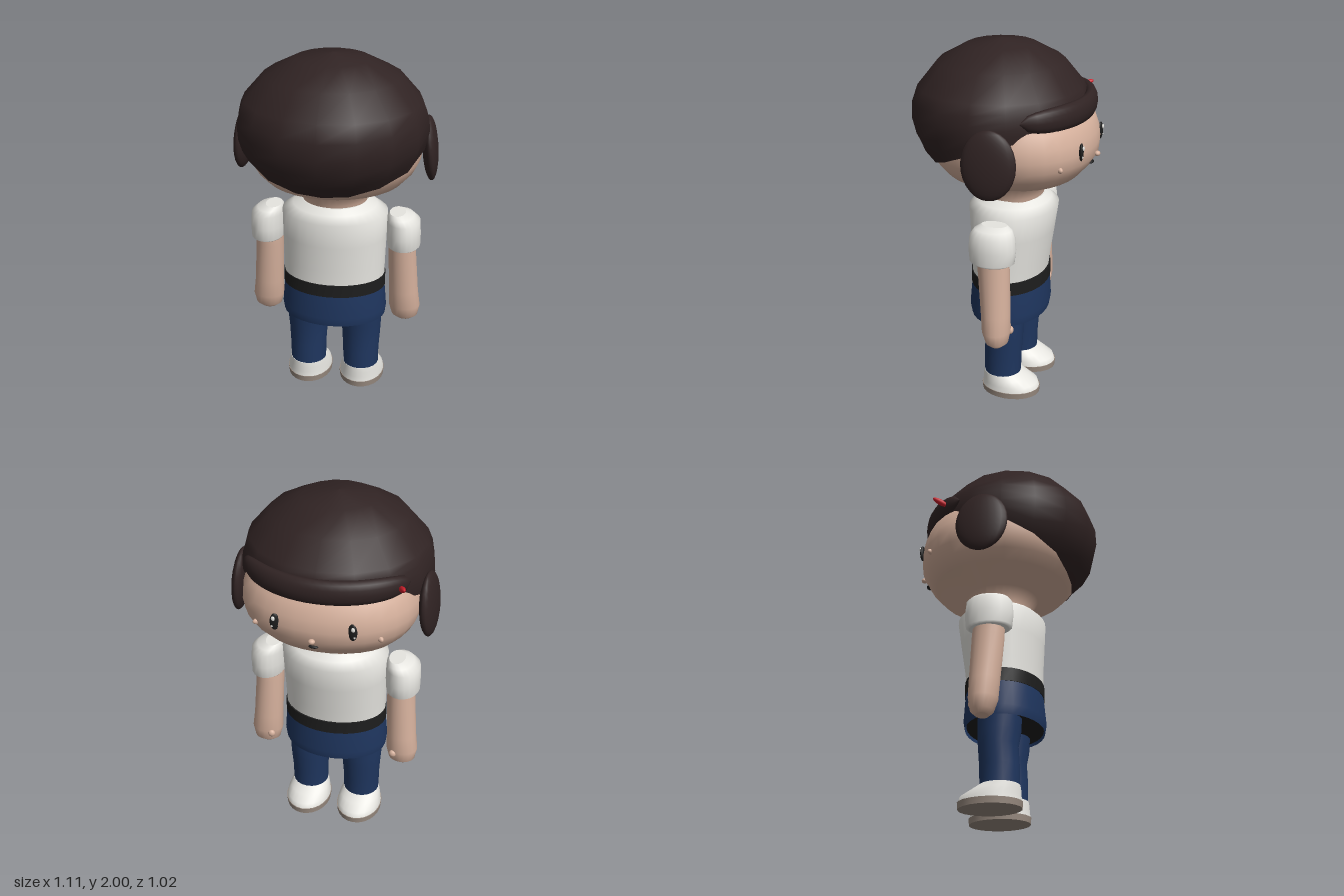
import * as THREE from 'three';

const mat = (name, color, side = THREE.FrontSide) => {
  const m = new THREE.MeshStandardMaterial({ color, side });
  m.name = name;
  return m;
};

// Surface through a grid of points: rows go up, columns go round
function surface(rows, cols, point, { wrap = true, caps = false } = {}) {
  const pos = [], index = [];
  for (let r = 0; r < rows; r++)
    for (let c = 0; c < cols; c++) pos.push(...point(r, c));
  const span = wrap ? cols : cols - 1;
  for (let r = 0; r < rows - 1; r++)
    for (let c = 0; c < span; c++) {
      const a = r * cols + c, b = r * cols + (c + 1) % cols;
      index.push(a, b, b + cols, a, b + cols, a + cols);
    }
  if (caps) for (const r of [0, rows - 1]) {
    const base = pos.length / 3, mid = [0, 0, 0];
    for (let c = 0; c < cols; c++) {
      const p = point(r, c);
      pos.push(...p);
      p.forEach((v, i) => { mid[i] += v / cols; });
    }
    pos.push(...mid);
    for (let c = 0; c < cols; c++) {
      const a = base + c, b = base + (c + 1) % cols;
      if (r === 0) index.push(base + cols, b, a);
      else index.push(base + cols, a, b);
    }
  }
  const g = new THREE.BufferGeometry();
  g.setAttribute('position', new THREE.Float32BufferAttribute(pos, 3));
  g.setIndex(index);
  g.computeVertexNormals();
  return g;
}

// Oval cross-sections [y, centreX, centreZ, radiusX, radiusZ] from bottom to top
function loft(rings, cols = 20, caps = true, frontPower = 1) {
  return surface(rings.length, cols, (r, c) => {
    const [y, cx, cz, rx, rz] = rings[r], a = c / cols * Math.PI * 2;
    const k = Math.cos(a);
    const z = k < 0 ? -Math.pow(-k, frontPower) : k;
    return [cx + rx * Math.sin(a), y, cz + rz * z];
  }, { caps });
}

export function createModel() {
  const model = new THREE.Group();
  model.name = 'figure';
  const hair = mat('hair brown', 0x302323, THREE.DoubleSide);
  const skin = mat('skin', 0xd6b19d);
  const white = mat('white cloth', 0xe6e5e0);
  const black = mat('black', 0x1e1e1e);
  const navy = mat('navy', 0x1f365f, THREE.DoubleSide);
  const sole = mat('sole taupe', 0x988a7f);
  const red = mat('clip red', 0xcc1f2b);

  const add = (name, geometry, material) => {
    const m = new THREE.Mesh(geometry, material);
    m.name = name;
    model.add(m);
    return m;
  };
  const ball = (name, material, p, s, rot = [0, 0, 0]) => {
    const m = add(name, new THREE.SphereGeometry(1, 20, 14), material);
    m.position.set(...p);
    m.scale.set(...s);
    m.rotation.set(...rot);
    return m;
  };

  // Head and neck
  add('head', loft([
    [1.10, 0, -0.04, 0.18, 0.155], [1.17, 0, -0.04, 0.18, 0.16],
    [1.245, 0, -0.035, 0.215, 0.20], [1.30, 0, -0.04, 0.385, 0.365],
    [1.355, 0, -0.04, 0.435, 0.415], [1.41, 0, -0.04, 0.463, 0.447],
    [1.47, 0, -0.04, 0.475, 0.453], [1.53, 0, -0.04, 0.47, 0.445],
    [1.60, 0, -0.04, 0.45, 0.42], [1.70, 0, -0.03, 0.40, 0.36],
    [1.82, 0, 0, 0.28, 0.26],
  ], 32, true, 0.75), skin);

  // Hair cap: drops low at the back, rises over the face
  const limit = [137, 135, 127, 117.5, 106, 97, 92, 92, 92];
  const HY = 1.61, HZ = 0.035, RX = 0.512, RY = 0.39, RZ = 0.475;
  add('hairCap', surface(9, 16, (r, c) => {
    const end = limit[Math.min(c, 16 - c)], k = 8 - r;
    const deg = k <= 3 ? k * 22.5 : 67.5 + (end - 67.5) * (k - 3) / 5;
    const phi = deg * Math.PI / 180, a = c * Math.PI / 8;
    return [RX * Math.sin(phi) * Math.sin(a), HY + RY * Math.cos(phi),
      HZ + RZ * Math.sin(phi) * Math.cos(a)];
  }), hair);

  // Fringe: a tapered roll across the forehead
  add('fringe', surface(25, 14, (r, c) => {
    const t = r / 12 - 1, u = t * 1.03, v = c / 14 * Math.PI * 2;
    const taper = Math.sqrt(Math.max(0.0004, 1 - Math.pow(Math.abs(t), 5)));
    const out = 0.04 * taper * Math.cos(v);
    return [(RX - 0.008 + out) * Math.sin(u),
      1.672 + 0.068 * taper * Math.sin(v),
      HZ - (RZ - 0.005 + out) * Math.cos(u)];
  }), hair);

  // Hair clip
  ball('hairClip', red, [-0.41, 1.68, -0.32], [0.014, 0.016, 0.047], [0.45, 0.4, 0]);

  // Nose and mouth
  ball('nose', skin, [0, 1.42, -0.497], [0.018, 0.014, 0.016]);
  ball('mouth', black, [0, 1.372, -0.466], [0.026, 0.009, 0.014]);

  // Shirt, belt, hips
  add('shirt', loft([
    [0.70, 0, -0.02, 0.285, 0.205], [0.80, 0, -0.025, 0.287, 0.212],
    [0.95, 0, -0.032, 0.292, 0.228], [1.09, 0, -0.038, 0.295, 0.242],
    [1.13, 0, -0.038, 0.235, 0.205], [1.158, 0, -0.038, 0.18, 0.17],
  ], 32), white);
  add('belt', loft([
    [0.645, 0, -0.022, 0.291, 0.214], [0.718, 0, -0.022, 0.291, 0.214],
  ], 32), black);
  add('hips', loft([
    [0.46, 0, -0.02, 0.292, 0.212], [0.51, 0, -0.02, 0.299, 0.221],
    [0.65, 0, -0.022, 0.287, 0.21],
  ], 32, false), navy);
  add('hipsUnderside', loft([
    [0.475, 0, -0.02, 0.285, 0.205], [0.482, 0, -0.02, 0.285, 0.205],
  ], 32), black);

  for (const s of [1, -1]) {
    const side = s > 0 ? 'left' : 'right';

    // Side hair bunch
    ball(side + 'HairBunch', hair, [s * 0.511, 1.47, -0.07], [0.043, 0.18, 0.143], [0, s * 0.08, s * 0.08]);

    // Eye with highlights, cheek mark
    ball(side + 'Eye', black, [s * 0.2, 1.485, -0.462], [0.025, 0.047, 0.012], [0, s * 0.2, 0]);
    ball(side + 'EyeShine', white, [s * 0.205, 1.507, -0.474], [0.01, 0.013, 0.006]);
    ball(side + 'EyeGlint', white, [s * 0.212, 1.462, -0.471], [0.006, 0.007, 0.005]);
    ball(side + 'Cheek', skin, [s * 0.32, 1.42, -0.382], [0.026, 0.017, 0.014], [0, s * 0.75, 0]);

    // Puffed sleeve
    add(side + 'Sleeve', loft([
      [0.89, s * 0.388, -0.045, 0.085, 0.105], [0.90, s * 0.388, -0.045, 0.092, 0.122],
      [0.97, s * 0.386, -0.045, 0.095, 0.129], [1.045, s * 0.384, -0.045, 0.092, 0.122],
      [1.075, s * 0.368, -0.045, 0.074, 0.102], [1.092, s * 0.35, -0.045, 0.045, 0.07],
    ]), white);

    // Arm, hand and thumb
    add(side + 'Arm', loft([
      [0.412, s * 0.402, -0.075, 0.045, 0.035], [0.435, s * 0.402, -0.075, 0.074, 0.06],
      [0.50, s * 0.40, -0.07, 0.089, 0.077], [0.60, s * 0.393, -0.065, 0.083, 0.08],
      [0.85, s * 0.38, -0.05, 0.078, 0.086], [0.93, s * 0.38, -0.045, 0.075, 0.082],
    ]), skin);
    ball(side + 'Thumb', skin, [s * 0.36, 0.49, -0.137], [0.021, 0.022, 0.017]);

    // Leg
    add(side + 'Leg', loft([
      [0.10, s * 0.156, -0.024, 0.103, 0.103], [0.22, s * 0.156, -0.025, 0.105, 0.105],
      [0.33, s * 0.156, -0.032, 0.112, 0.106], [0.40, s * 0.156, -0.026, 0.116, 0.114],
      [0.52, s * 0.156, -0.024, 0.119, 0.119],
    ]), navy);

    // Shoe and sole
    add(side + 'Shoe', loft([
      [0.03, s * 0.156, -0.073, 0.129, 0.166], [0.062, s * 0.156, -0.07, 0.125, 0.158],
      [0.092, s * 0.156, -0.045, 0.115, 0.132], [0.12, s * 0.156, -0.024, 0.105, 0.106],
    ], 24), white);
    add(side + 'Sole', loft([
      [0, s * 0.156, -0.073, 0.129, 0.166], [0.034, s * 0.156, -0.073, 0.132, 0.169],
    ], 24), sole);
  }

  // The fringe grid runs sideways, so its faces are kept two-sided with the hair material
  return model;
}
